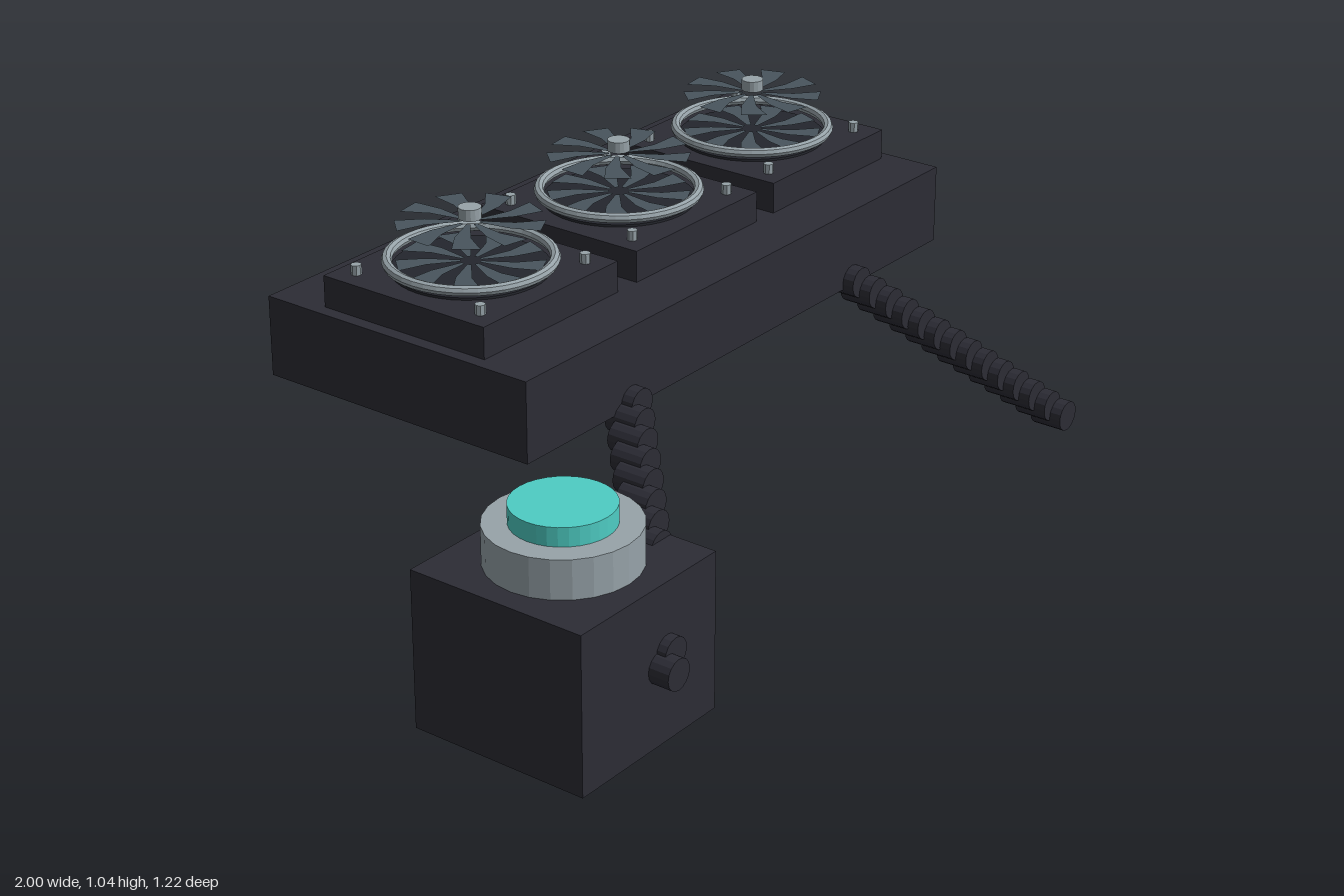
import * as THREE from 'three';

const mat = (name, color, extra = {}) => {
  const m = new THREE.MeshStandardMaterial({ color, ...extra });
  m.name = name;
  return m;
};

export function createModel() {
  const root = new THREE.Group();
  root.name = 'liquidCooler';
  const black = mat('matte black', 0x2c2c35, { flatShading: true });
  const metal = mat('brushed metal', 0x97a3a9, { flatShading: true });
  const teal = mat('teal glow', 0x4ecdc4, { flatShading: true });
  const slate = mat('slate blade', 0x48545d, { side: THREE.DoubleSide });
  const well = mat('dark well', 0x24262d);

  const add = (parent, name, geo, material, x, y, z) => {
    const m = new THREE.Mesh(geo, material);
    m.name = name;
    m.position.set(x, y, z);
    parent.add(m);
    return m;
  };

  // Radiator slab
  add(root, 'radiator', new THREE.BoxGeometry(1.675, 0.205, 0.79), black, 0.117, 0.6975, -0.215);

  // Swept blade wheel lying flat
  const wheelGeometry = (count, inner, outer) => {
    const shapes = [];
    for (let i = 0; i < count; i++) {
      const a = (i / count) * Math.PI * 2;
      const p = (r, t) => [r * Math.cos(a + t), r * Math.sin(a + t)];
      const s = new THREE.Shape();
      s.moveTo(...p(inner, 0));
      s.lineTo(...p(outer * 0.6, 0.02));
      s.lineTo(...p(outer, 0.12));
      s.lineTo(...p(outer, 0.5));
      s.lineTo(...p(outer * 0.6, 0.38));
      s.lineTo(...p(inner, 0.4));
      shapes.push(s);
    }
    return new THREE.ShapeGeometry(shapes).rotateX(-Math.PI / 2);
  };
  const blades = wheelGeometry(9, 0.025, 0.178);
  const ring = new THREE.TorusGeometry(0.198, 0.013, 8, 40).rotateX(Math.PI / 2);
  const screw = new THREE.CylinderGeometry(0.013, 0.013, 0.025, 8);

  // Three fans along the radiator
  for (const x of [-0.443, 0.117, 0.676]) {
    const fan = new THREE.Group();
    fan.name = 'fan';
    fan.position.set(x, 0.8, -0.215);
    root.add(fan);
    add(fan, 'fanFrame', new THREE.BoxGeometry(0.487, 0.08, 0.49), black, 0, 0.04, 0);
    add(fan, 'fanWell', new THREE.CylinderGeometry(0.19, 0.19, 0.006, 40), well, 0, 0.083, 0);
    add(fan, 'fanRing', ring, metal, 0, 0.107, 0);
    add(fan, 'lowerBlades', blades, slate, 0, 0.1, 0);
    add(fan, 'upperBlades', blades, slate, 0, 0.2, 0);
    add(fan, 'hub', new THREE.CylinderGeometry(0.028, 0.028, 0.028, 16), metal, 0, 0.222, 0);
    for (const sx of [-1, 1]) {
      for (const sz of [-1, 1]) add(fan, 'screw', screw, metal, sx * 0.19, 0.0925, sz * 0.19);
    }
  }

  // Pump block with stacked caps
  const pump = new THREE.Group();
  pump.name = 'pump';
  pump.position.set(-0.757, 0, 0.312);
  root.add(pump);
  add(pump, 'pumpBody', new THREE.BoxGeometry(0.486, 0.41, 0.489), black, 0, 0.205, 0);
  add(pump, 'pumpCap', new THREE.CylinderGeometry(0.186, 0.186, 0.1, 24), metal, 0, 0.46, 0);
  add(pump, 'pumpLight', new THREE.CylinderGeometry(0.126, 0.126, 0.048, 32), teal, 0, 0.534, 0);

  // Segmented hoses, each a row of short cylinders facing forward
  const link = new THREE.CylinderGeometry(0.04, 0.04, 0.088, 16).rotateX(Math.PI / 2);
  for (const side of [-1, 1]) {
    const hose = new THREE.Group();
    hose.name = side < 0 ? 'rightHose' : 'leftHose';
    root.add(hose);
    const start = new THREE.Vector3(0.116 + side * 0.455, 0.61, 0.167);
    const end = new THREE.Vector3(0.116 + side * 0.84, 0.205, 0.568);
    const links = 14;
    for (let i = 0; i < links; i++) {
      const p = start.clone().lerp(end, i / (links - 1));
      add(hose, 'hoseLink', link, black, p.x, p.y, p.z);
    }
  }
  return root;
}
